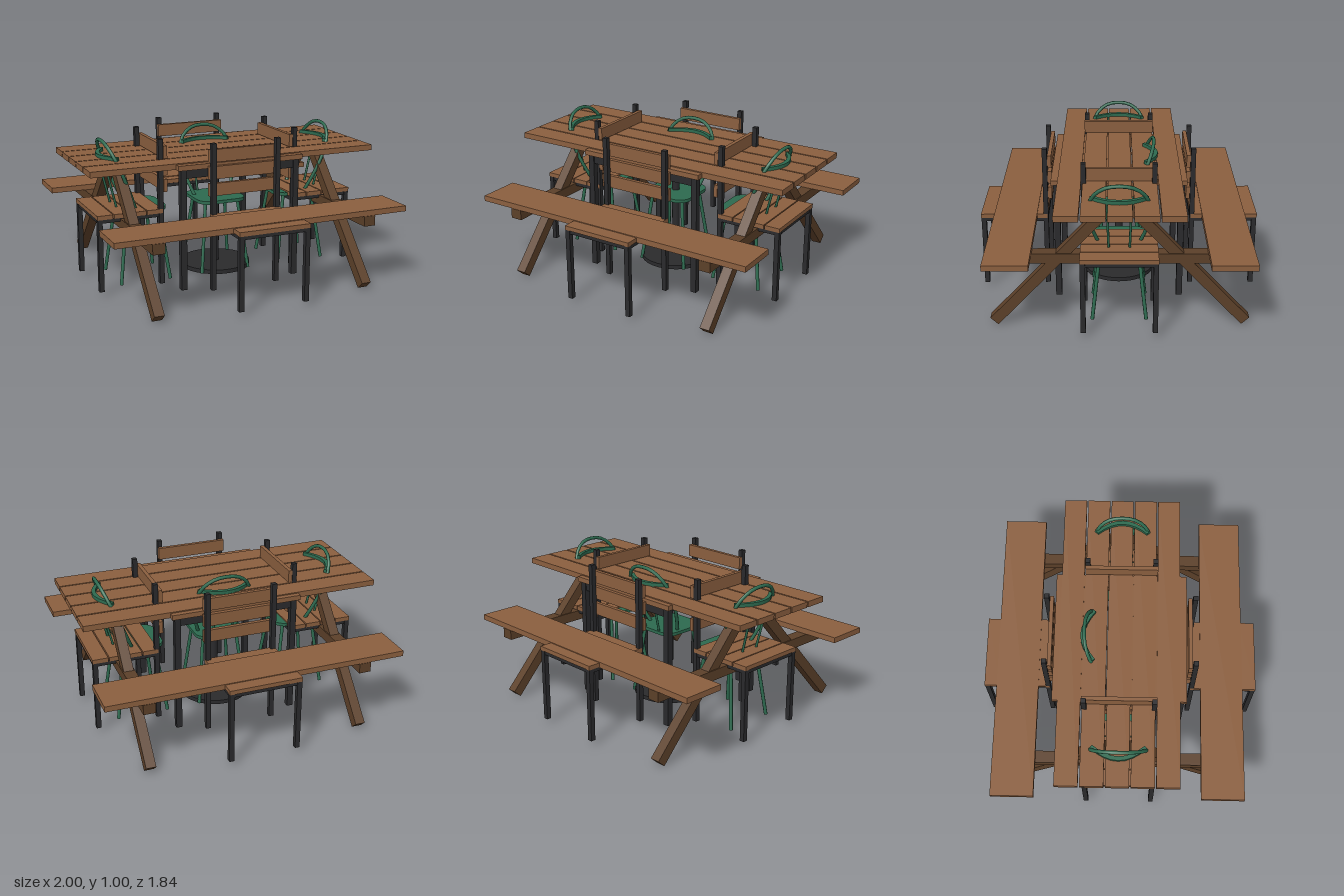
import * as THREE from 'three';

const mat = (name, color, extra = {}) => {
  const m = new THREE.MeshStandardMaterial({ color, ...extra });
  m.name = name;
  return m;
};

export function createModel() {
  const wood = mat('wood', 0x8b5f3f);
  const darkWood = mat('dark wood', 0x5c4029);
  const metal = mat('black metal', 0x2a2a2c);
  const green = mat('green paint', 0x2d6a4f);
  const grey = mat('grey top', 0x8a8a8a);

  const add = (parent, name, geo, material, x = 0, y = 0, z = 0) => {
    const m = new THREE.Mesh(geo, material);
    m.name = name;
    m.position.set(x, y, z);
    parent.add(m);
    return m;
  };
  // Box given by its limits on each axis
  const box = (parent, name, material, [x0, x1], [y0, y1], [z0, z1]) =>
    add(parent, name, new THREE.BoxGeometry(x1 - x0, y1 - y0, z1 - z0), material,
      (x0 + x1) / 2, (y0 + y1) / 2, (z0 + z1) / 2);
  // Round bar between two points
  const bar = (parent, name, material, a, b, r) => {
    const p = new THREE.Vector3(...a), q = new THREE.Vector3(...b);
    const d = q.clone().sub(p);
    const m = add(parent, name, new THREE.CylinderGeometry(r, r, d.length(), 8), material);
    m.position.copy(p).add(q).multiplyScalar(0.5);
    m.quaternion.setFromUnitVectors(new THREE.Vector3(0, 1, 0), d.normalize());
  };
  const group = (parent, name) => {
    const g = new THREE.Group();
    g.name = name;
    parent.add(g);
    return g;
  };

  // Long picnic table with two benches and slanted legs
  function picnicTable(root) {
    const g = group(root, 'picnicTable');
    g.position.z = -0.004;
    for (let i = -2; i <= 2; i++)
      box(g, 'topPlank', wood, [-1, 1], [0.83, 0.868], [i * 0.16 - 0.075, i * 0.16 + 0.075]);
    for (const s of [-1, 1]) {
      const z = s * 0.69;
      box(g, 'bench', wood, [-1, 1], [0.508, 0.545], [z - 0.142, z + 0.142]);
      const x = s * 0.725;
      box(g, 'crossBeam', darkWood, [x - 0.04, x + 0.04], [0.44, 0.507], [-0.833, 0.833]);
      for (const t of [-1, 1]) {
        const dz = -0.74, dy = 0.795;
        const leg = add(g, 'slantedLeg', new THREE.BoxGeometry(0.066, Math.hypot(dz, dy), 0.068), darkWood,
          x, 0.025 + dy / 2, t * (0.8 + dz / 2));
        leg.rotation.x = t * Math.atan2(dz, dy);
      }
    }
  }

  // Square table with slatted top on black legs
  function squareTable(root) {
    const g = group(root, 'squareTable');
    for (let i = -2; i <= 2; i++)
      box(g, 'squareTopPlank', wood, [-0.44, 0.44], [0.828, 0.861], [i * 0.175 - 0.085, i * 0.175 + 0.085]);
    for (const s of [-1, 1]) {
      const z = s * 0.4;
      box(g, 'apron', metal, [-0.42, 0.42], [0.77, 0.828], [z - 0.012, z + 0.012]);
      for (const t of [-1, 1]) {
        const x = t * 0.4;
        box(g, 'tableLeg', metal, [x - 0.02, x + 0.02], [0.03, 0.828], [z - 0.02, z + 0.02]);
      }
    }
  }

  // Small round pedestal table
  function pedestalTable(root) {
    const g = group(root, 'pedestalTable');
    add(g, 'roundBase', new THREE.CylinderGeometry(0.24, 0.24, 0.028, 32), metal, 0, 0.046, 0);
    add(g, 'pedestal', new THREE.CylinderGeometry(0.026, 0.026, 0.74, 16), metal, 0, 0.43, 0);
    add(g, 'roundTop', new THREE.CylinderGeometry(0.29, 0.29, 0.025, 32), grey, 0, 0.812, 0);
  }

  // Slatted chair: back near the middle, seat towards +z
  function slatChair(root, turn) {
    const g = group(root, 'slatChair');
    g.rotation.y = turn;
    for (const s of [-1, 1]) {
      const x = s * 0.225;
      box(g, 'backPost', metal, [x - 0.016, x + 0.016], [0.03, 1.0], [0.469, 0.501]);
      box(g, 'frontLeg', metal, [x - 0.016, x + 0.016], [0.03, 0.512], [0.884, 0.916]);
      box(g, 'sideRail', metal, [x - 0.012, x + 0.012], [0.488, 0.512], [0.5, 0.885]);
    }
    for (const z of [0.485, 0.9])
      box(g, 'endRail', metal, [-0.21, 0.21], [0.488, 0.512], [z - 0.012, z + 0.012]);
    for (let i = 0; i < 4; i++) {
      const z = 0.476 + i * 0.1125;
      box(g, 'seatSlat', wood, [-0.242, 0.242], [0.512, 0.54], [z, z + 0.105]);
    }
    for (let i = 0; i < 3; i++) {
      const y = 0.652 + i * 0.11;
      box(g, 'backSlat', wood, [-0.242, 0.242], [y, y + 0.083], [0.441, 0.467]);
    }
  }

  // Green hoop-back chair: the back leans towards +z
  function hoopChair(root, x, z, turn) {
    const g = group(root, 'hoopChair');
    g.position.set(x, 0, z);
    g.rotation.y = turn;

    // Rounded seat plate
    const r = 0.08, w = 0.17;
    const s = new THREE.Shape();
    s.absarc(w - r, w - r, r, 0, Math.PI / 2);
    s.absarc(r - w, w - r, r, Math.PI / 2, Math.PI);
    s.absarc(r - w, r - w, r, Math.PI, Math.PI * 1.5);
    s.absarc(w - r, r - w, r, Math.PI * 1.5, Math.PI * 2);
    const seat = new THREE.ExtrudeGeometry(s, { depth: 0.022, bevelEnabled: false, curveSegments: 6 });
    add(g, 'seat', seat.rotateX(-Math.PI / 2), green, 0, 0.508, 0);

    // Splayed legs
    for (const a of [-1, 1])
      for (const b of [-1, 1])
        bar(g, 'chairLeg', green, [a * 0.172, 0.033, b * 0.172], [a * 0.118, 0.51, b * 0.108], 0.012);

    // Leaning hoop
    const half = [[0.13, 0.52], [0.165, 0.62], [0.19, 0.74], [0.185, 0.84], [0.15, 0.915], [0.08, 0.965]];
    const lean = ([px, py]) => new THREE.Vector3(px, py, 0.055 + (py - 0.54) * 0.41);
    const pts = [...half, [0, 0.977], ...half.slice().reverse().map(([px, py]) => [-px, py])].map(lean);
    add(g, 'backHoop', new THREE.TubeGeometry(new THREE.CatmullRomCurve3(pts), 28, 0.012, 8), green);

    // Curved back rail: a crescent in plan
    const c = new THREE.Shape();
    c.moveTo(-0.18, -0.18);
    c.quadraticCurveTo(0, -0.345, 0.18, -0.18);
    c.lineTo(0.165, -0.165);
    c.quadraticCurveTo(0, -0.305, -0.165, -0.165);
    const rail = new THREE.ExtrudeGeometry(c, { depth: 0.028, bevelEnabled: false, curveSegments: 8 });
    add(g, 'backRail', rail.rotateX(-Math.PI / 2), green, 0, 0.863, 0);

    // Spindles
    for (const a of [-1, 1])
      bar(g, 'backSpindle', green, [a * 0.075, 0.87, 0.24], [a * 0.065, 0.52, 0.155], 0.008);
  }

  const root = new THREE.Group();
  root.name = 'outdoorDiningSet';
  picnicTable(root);
  squareTable(root);
  pedestalTable(root);
  for (let i = 0; i < 4; i++) slatChair(root, i * Math.PI / 2);
  hoopChair(root, 0.575, 0, Math.PI / 2);
  hoopChair(root, -0.575, 0, -Math.PI / 2);
  hoopChair(root, 0, 0, Math.PI);
  return root;
}
